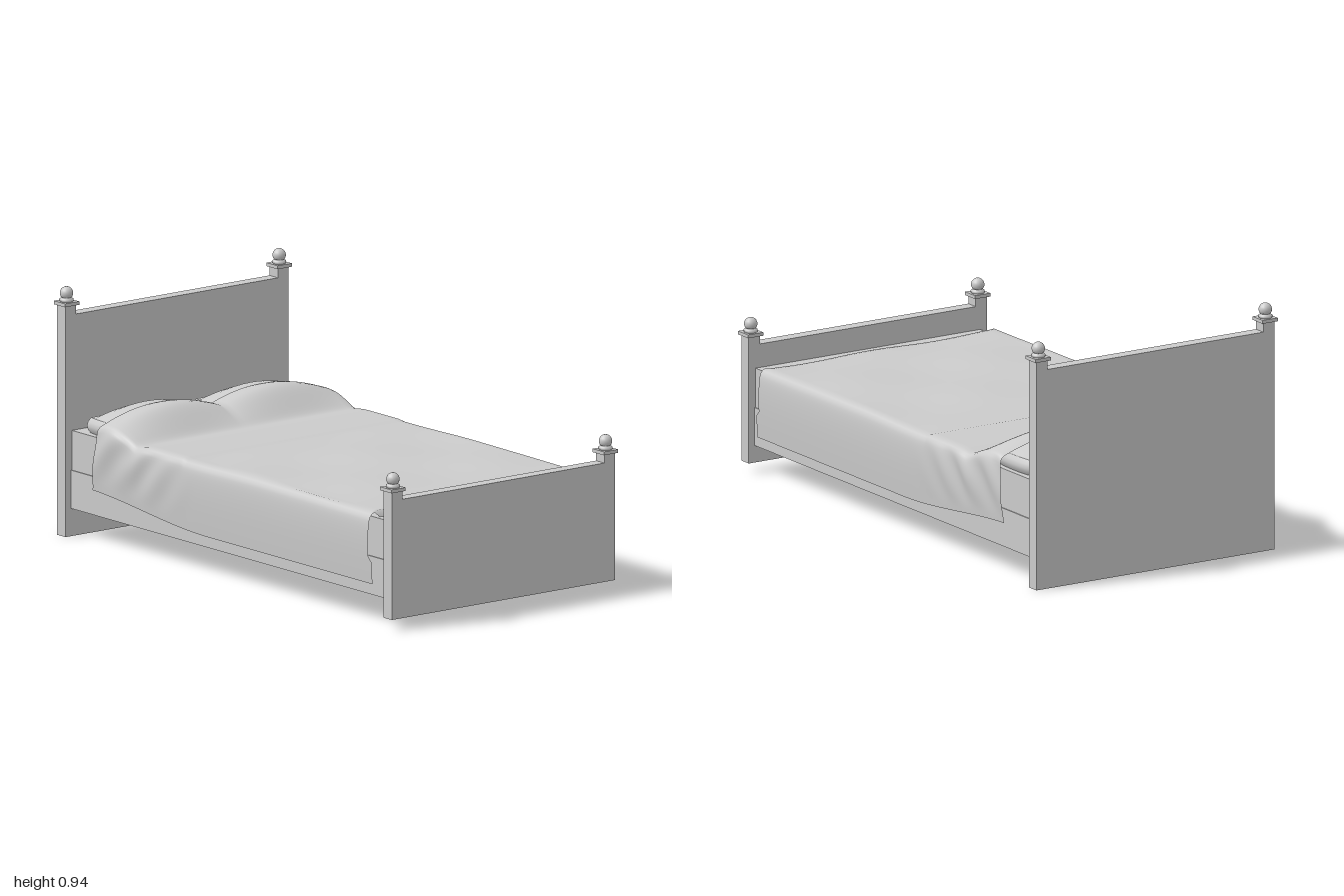
import * as THREE from 'three';

const grey = new THREE.MeshStandardMaterial({ color: 0xcccccc });
const cloth = new THREE.MeshStandardMaterial({ color: 0xcccccc, side: THREE.DoubleSide });
const { smoothstep, lerp } = THREE.MathUtils;

function add(parent, name, geometry, x = 0, y = 0, z = 0, material = grey) {
  const mesh = new THREE.Mesh(geometry, material);
  mesh.name = name;
  mesh.position.set(x, y, z);
  parent.add(mesh);
  return mesh;
}

// Turned finial: collar, neck, small ring and ball
function finialGeometry() {
  const pts = [[0, 0], [0.026, 0], [0.026, 0.009], [0.018, 0.014], [0.014, 0.018], [0.02, 0.021]]
    .map(([r, y]) => new THREE.Vector2(r, y));
  for (let i = 2; i <= 9; i++) {
    const a = (i / 9) * Math.PI;
    pts.push(new THREE.Vector2(Math.max(0, 0.025 * Math.sin(a)), 0.031 - 0.025 * Math.cos(a)));
  }
  return new THREE.LatheGeometry(pts, 20);
}

// End board: one slab whose corner posts rise above the panel
function endBoard(name, bottom, panelTop, postTop, z) {
  const board = new THREE.Group();
  board.name = name;
  const outline = [[-0.525, bottom], [0.525, bottom], [0.525, postTop], [0.475, postTop],
    [0.475, panelTop], [-0.475, panelTop], [-0.475, postTop], [-0.525, postTop]];
  const shape = new THREE.Shape(outline.map(([x, y]) => new THREE.Vector2(x, y)));
  const slab = new THREE.ExtrudeGeometry(shape, { depth: 0.05, bevelEnabled: false });
  add(board, name + 'Panel', slab, 0, 0, z - 0.025);
  for (const x of [-0.5, 0.5]) {
    add(board, 'postCap', new THREE.BoxGeometry(0.067, 0.013, 0.067), x, postTop + 0.0065, z);
    add(board, 'finial', finialGeometry(), x, postTop + 0.013, z);
  }
  return board;
}

// Pillow: a box with a crowned top and pinched edges
function pillowGeometry() {
  const g = new THREE.BoxGeometry(2, 2, 2, 12, 4, 8);
  const p = g.attributes.position;
  for (let i = 0; i < p.count; i++) {
    const u = p.getX(i), v = p.getY(i), w = p.getZ(i);
    const pinch = 1 - 0.06 * v * v;
    const crown = 0.044 * (1 - u * u) * (1 - w ** 4);
    const inset = 1 - 0.04 * u * u * w * w;
    p.setXYZ(i, 0.24 * u * pinch * inset, 0.03 * v + Math.max(0, v) * crown, 0.122 * w * pinch * inset);
  }
  g.computeVertexNormals();
  return g;
}

// Height of the bedcover above the mattress and pillows
function coverTop(x, z) {
  const crest = 0.515 - 0.03 * ((Math.abs(x) - 0.24) / 0.2) ** 2;
  const flat = 0.42 + 0.004 * Math.sin(x * 11 + 1) * Math.sin(z * 8 + 0.6) * smoothstep(z, -0.3, 0.1)
    + 0.004 * smoothstep(z, -0.2, 0.2) * smoothstep(0.85 - z, 0, 0.4);
  const fold = 0.004 * smoothstep(-z, 0.24, 0.26);
  const dip = 0.008 * Math.exp(-(((z + 0.53) / 0.04) ** 2));
  const rise = smoothstep(-z, 0.52, 0.69);
  return lerp(flat + fold - dip, crest, rise) - 0.012 * smoothstep(-z, 0.71, 0.78);
}

// Bedcover: a sheet draped over the top and both sides
function coverGeometry() {
  const g = new THREE.PlaneGeometry(2, 2, 80, 120);
  const p = g.attributes.position;
  for (let i = 0; i < p.count; i++) {
    const u = p.getX(i), w = (1 - p.getY(i)) / 2;
    const s = Math.abs(u), side = Math.sign(u);
    const t = Math.max(0, (s - 0.6) / 0.4);
    let z = lerp(-0.75 - 0.03 * t, 0.865, w);
    const head = smoothstep(-z, 0.15, 0.5);
    if (t === 0) {
      const x = (u / 0.6) * 0.5;
      p.setXYZ(i, x, w > 0.999 ? 0.4 : coverTop(x, z), z);
    } else {
      const hem = 0.155 + 0.055 * smoothstep(-z, 0.1, 0.85);
      const y = lerp(coverTop(0.5, z), hem, t ** 1.3);
      // Diagonal creases run down from the pillow end
      const crease = 0.009 * Math.sin(z * 38 + t * 7) * head * Math.sin(Math.PI * Math.min(1, t * 1.1));
      const x = 0.5 + 0.027 * (1 - Math.exp(-t * 14)) + 0.007 * Math.sin(Math.PI * t) + crease * 0.7;
      if (t > 0.72) z += 0.018 * smoothstep(w, 0.93, 1);
      p.setXYZ(i, side * Math.max(0.503, x), y, z);
    }
  }
  g.computeVertexNormals();
  return g;
}

export function createModel() {
  const bed = new THREE.Group();
  bed.name = 'bed';

  bed.add(endBoard('headboard', 0, 0.838, 0.873, -0.97));
  bed.add(endBoard('footboard', 0.04, 0.49, 0.522, 0.97));

  // Base and mattress fill the space between the boards
  add(bed, 'bedBase', new THREE.BoxGeometry(0.998, 0.145, 1.89), 0, 0.1775, 0);
  add(bed, 'mattress', new THREE.BoxGeometry(0.99, 0.15, 1.89), 0, 0.325, 0);

  for (const side of [-1, 1]) add(bed, 'pillow', pillowGeometry(), side * 0.247, 0.428, -0.76);
  add(bed, 'bedcover', coverGeometry(), 0, 0, 0, cloth);

  return bed;
}
